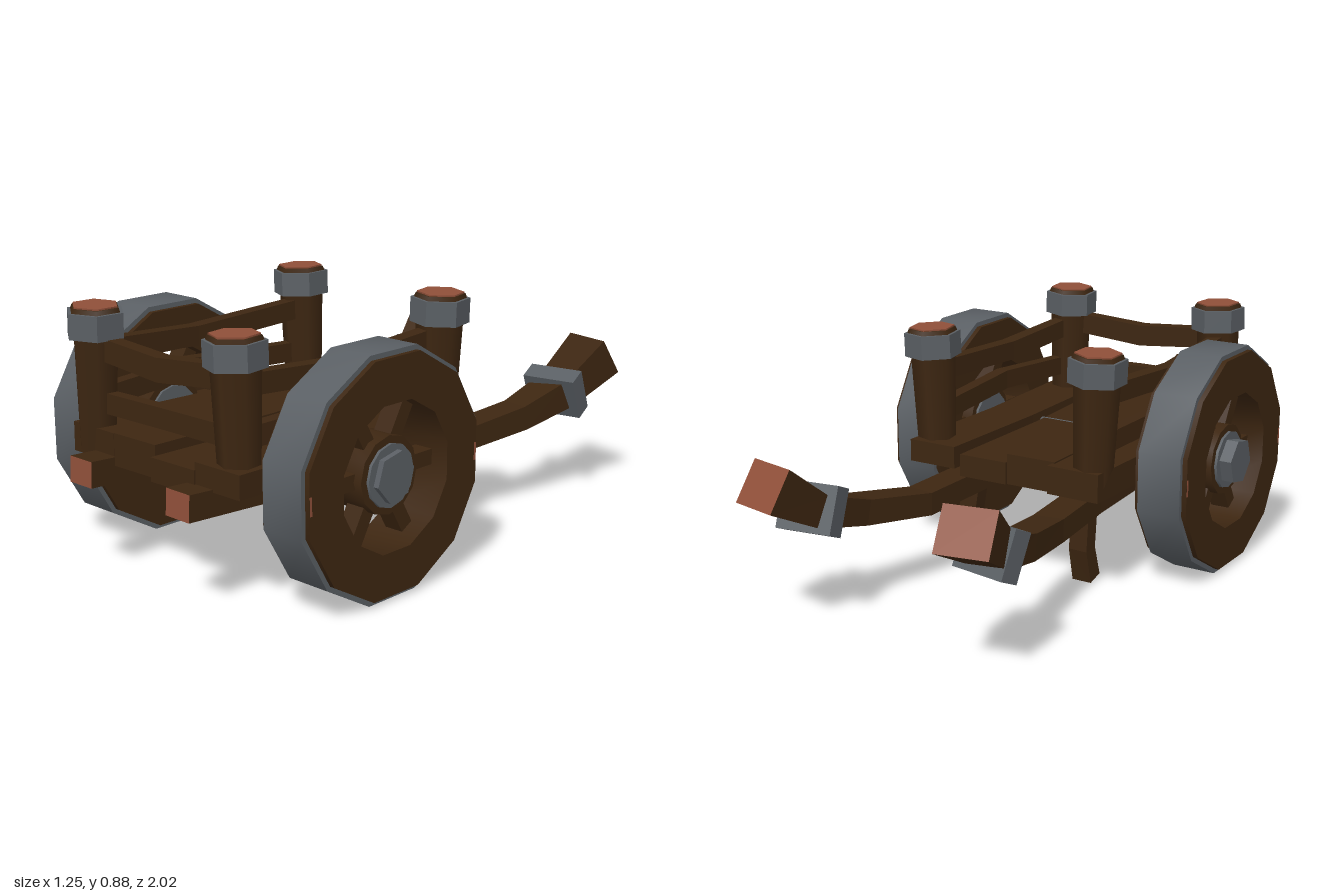
import * as THREE from 'three';
import { toCreasedNormals } from 'three/addons/utils/BufferGeometryUtils.js';

const paint = (name, color) => {
  const m = new THREE.MeshStandardMaterial({ color });
  m.name = name;
  return m;
};

export function createModel() {
  const wood = paint('dark wood', 0x3d2611);
  const iron = paint('iron', 0x5a5f64);
  const cut = paint('cut wood', 0x8f4f39);
  const cart = new THREE.Group();
  cart.name = 'handcart';

  const add = (parent, name, geo, mat, x = 0, y = 0, z = 0) => {
    const m = new THREE.Mesh(geo, mat);
    m.name = name;
    m.position.set(x, y, z);
    parent.add(m);
    return m;
  };

  // Rectangular beam through stations [x, y, z, width, height]; group 1 is the end faces
  const beamGeo = (stations, ref = [0, 1, 0]) => {
    const pts = stations.map(s => new THREE.Vector3(s[0], s[1], s[2]));
    const up = new THREE.Vector3(...ref);
    const rings = stations.map((st, i) => {
      const t = pts[Math.min(i + 1, pts.length - 1)].clone().sub(pts[Math.max(i - 1, 0)]).normalize();
      const s = t.clone().cross(up).normalize();
      const u = s.clone().cross(t);
      return [[-1, -1], [1, -1], [1, 1], [-1, 1]].map(([a, b]) =>
        pts[i].clone().addScaledVector(s, a * st[3] / 2).addScaledVector(u, b * st[4] / 2));
    });
    const pos = [];
    const quad = (a, b, c, d) => [a, b, c, a, c, d].forEach(v => pos.push(v.x, v.y, v.z));
    for (let i = 0; i < rings.length - 1; i++) {
      for (let j = 0; j < 4; j++) {
        const k = (j + 1) % 4;
        quad(rings[i][j], rings[i + 1][j], rings[i + 1][k], rings[i][k]);
      }
    }
    const sideCount = pos.length / 3;
    const e = rings[rings.length - 1];
    quad(...rings[0]);
    quad(e[3], e[2], e[1], e[0]);
    const g = new THREE.BufferGeometry();
    g.setAttribute('position', new THREE.Float32BufferAttribute(pos, 3));
    g.addGroup(0, sideCount, 0);
    g.addGroup(sideCount, 12, 1);
    g.computeVertexNormals();
    return g;
  };
  const beam = (name, stations, ends = wood, ref) =>
    add(cart, name, beamGeo(stations, ref), [wood, ends]);

  // Deck planks: front x, back x, front z, back z, y, width, thickness
  [
    [-0.295, -0.29, 0.89, -0.19, 0.43, 0.21, 0.10],
    [-0.08, -0.105, 0.895, -0.16, 0.43, 0.20, 0.11],
    [0.12, 0.095, 0.91, -0.16, 0.41, 0.20, 0.08],
    [0.315, 0.305, 0.9, -0.17, 0.435, 0.20, 0.08],
  ].forEach(([xf, xb, zf, zb, y, w, h]) =>
    beam('deckPlank', [[xf, y, zf, w, h], [(xf + xb) / 2, y - 0.008, 0.36, w - 0.01, h], [xb, y, zb, w - 0.01, h]]));

  // Long shafts that curve up and outward into the handles
  for (const s of [-1, 1]) {
    const o = s > 0 ? 0.01 : 0;
    beam('shaft', [
      [s * 0.232 + o, 0.365, 0.995, 0.108, 0.088],
      [s * 0.24 + o, 0.312, 0.0, 0.11, 0.08],
      [s * 0.265, 0.302, -0.3, 0.11, 0.082],
      [s * 0.325, 0.34, -0.57, 0.11, 0.09],
      [s * 0.355, 0.4, -0.78, 0.14, 0.11],
      [s * 0.392, 0.52, -0.965, 0.18, 0.155],
    ], cut);
    const band = add(cart, 'handleBand', new THREE.BoxGeometry(0.205, 0.165, 0.075), iron, s * 0.354, 0.398, -0.775);
    band.rotation.set(0.42, s * 0.16, 0, 'YXZ');
  }

  // Bent standing legs under the back
  beam('leg', [[-0.22, 0.01, 0.032, 0.075, 0.065], [-0.22, 0.13, 0.0, 0.072, 0.06], [-0.225, 0.31, 0.01, 0.07, 0.06]], wood, [0, 0, 1]);
  beam('leg', [[0.25, 0.01, 0.032, 0.075, 0.065], [0.262, 0.14, 0.0, 0.072, 0.06], [0.24, 0.31, 0.01, 0.07, 0.06]], wood, [0, 0, 1]);

  // Corner posts with iron bands and sawn tops: x, z, turn, tilt
  [
    [-0.33, -0.12, 0.05, 0.03], [0.345, -0.08, 0.22, -0.03],
    [-0.33, 0.845, -0.08, -0.03], [0.33, 0.82, 0.15, 0.02],
  ].forEach(([x, z, turn, tilt]) => {
    const post = new THREE.Group();
    post.name = 'cornerPost';
    post.position.set(x, 0.4, z);
    post.rotation.set(0, turn, tilt);
    cart.add(post);
    add(post, 'postBody', new THREE.CylinderGeometry(0.081, 0.066, 0.4, 6), wood, 0, 0.2);
    add(post, 'postBand', toCreasedNormals(new THREE.CylinderGeometry(0.101, 0.101, 0.085, 6), 0.6), iron, 0, 0.418);
    add(post, 'postCrown', new THREE.CylinderGeometry(0.084, 0.09, 0.016, 6), wood, 0, 0.467);
    add(post, 'sawnTop', new THREE.CylinderGeometry(0.08, 0.08, 0.005, 6), cut, 0, 0.478);
  });

  // Front rails
  beam('frontTopRail', [[-0.33, 0.745, 0.84, 0.05, 0.075], [0, 0.718, 0.835, 0.055, 0.08], [0.33, 0.745, 0.82, 0.05, 0.075]]);
  beam('frontLowRail', [[-0.33, 0.557, 0.835, 0.04, 0.07], [0, 0.56, 0.83, 0.045, 0.07], [0.33, 0.557, 0.82, 0.04, 0.07]]);

  // Side rails
  for (const s of [-1, 1]) {
    beam('sideTopRail', [[s * 0.335, 0.725, 0.83, 0.05, 0.07], [s * 0.35, 0.70, 0.4, 0.055, 0.07], [s * 0.335, 0.725, -0.1, 0.05, 0.07]]);
    beam('sideLowRail', [[s * 0.345, 0.56, 0.83, 0.045, 0.07], [s * 0.38, 0.58, 0.4, 0.05, 0.07], [s * 0.345, 0.56, -0.1, 0.045, 0.07]]);
  }

  // Axle
  const axle = add(cart, 'axle', new THREE.CylinderGeometry(0.045, 0.045, 1.1, 8), iron, 0, 0.4, 0.43);
  axle.rotation.z = Math.PI / 2;

  // Twelve-sided ring lying across the x axis
  const polygon = (Kind, r) => {
    const p = new Kind();
    for (let i = 0; i < 12; i++) {
      const a = (i + 0.5) * Math.PI / 6;
      p[i ? 'lineTo' : 'moveTo'](Math.cos(a) * r, Math.sin(a) * r);
    }
    p.closePath();
    return p;
  };
  const ringGeo = (outer, inner, depth) => {
    const shape = polygon(THREE.Shape, outer);
    shape.holes.push(polygon(THREE.Path, inner));
    const g = new THREE.ExtrudeGeometry(shape, { depth, bevelEnabled: false });
    g.translate(0, 0, -depth / 2).rotateY(Math.PI / 2);
    return toCreasedNormals(g, 0.6);
  };
  const disc = (r, depth, sides) =>
    toCreasedNormals(new THREE.CylinderGeometry(r, r, depth, sides).rotateZ(Math.PI / 2), 0.6);

  // Wheels with iron tyres, six spokes and iron hub caps
  for (const s of [-1, 1]) {
    const wheel = new THREE.Group();
    wheel.name = 'wheel';
    wheel.position.set(s > 0 ? 0.525 : -0.505, 0.404, 0.43);
    cart.add(wheel);
    add(wheel, 'tyre', ringGeo(0.417, 0.385, 0.162), iron);
    add(wheel, 'rim', ringGeo(0.4, 0.248, 0.198), wood);
    add(wheel, 'hub', disc(0.13, 0.13, 12), wood);
    add(wheel, 'hubRing', disc(0.105, 0.15, 12), iron);
    const cap = add(wheel, 'hubCap', disc(0.085, 0.1, 6), iron, s > 0 ? 0.045 : -0.07);
    cap.rotation.x = 0.2;
    for (let i = 0; i < 6; i++) {
      const arm = new THREE.Group();
      arm.name = 'spokeArm';
      arm.rotation.x = i * Math.PI / 3;
      wheel.add(arm);
      add(arm, 'spoke', new THREE.BoxGeometry(0.07, 0.052, 0.2), wood, 0, 0, 0.19);
    }
    // Sawn spoke ends showing at the rim edge
    for (const d of [-1, 1]) {
      add(wheel, 'spokeEnd', new THREE.BoxGeometry(0.004, 0.06, 0.009), cut, s * 0.098, 0, d * 0.381);
    }
  }
  return cart;
}
